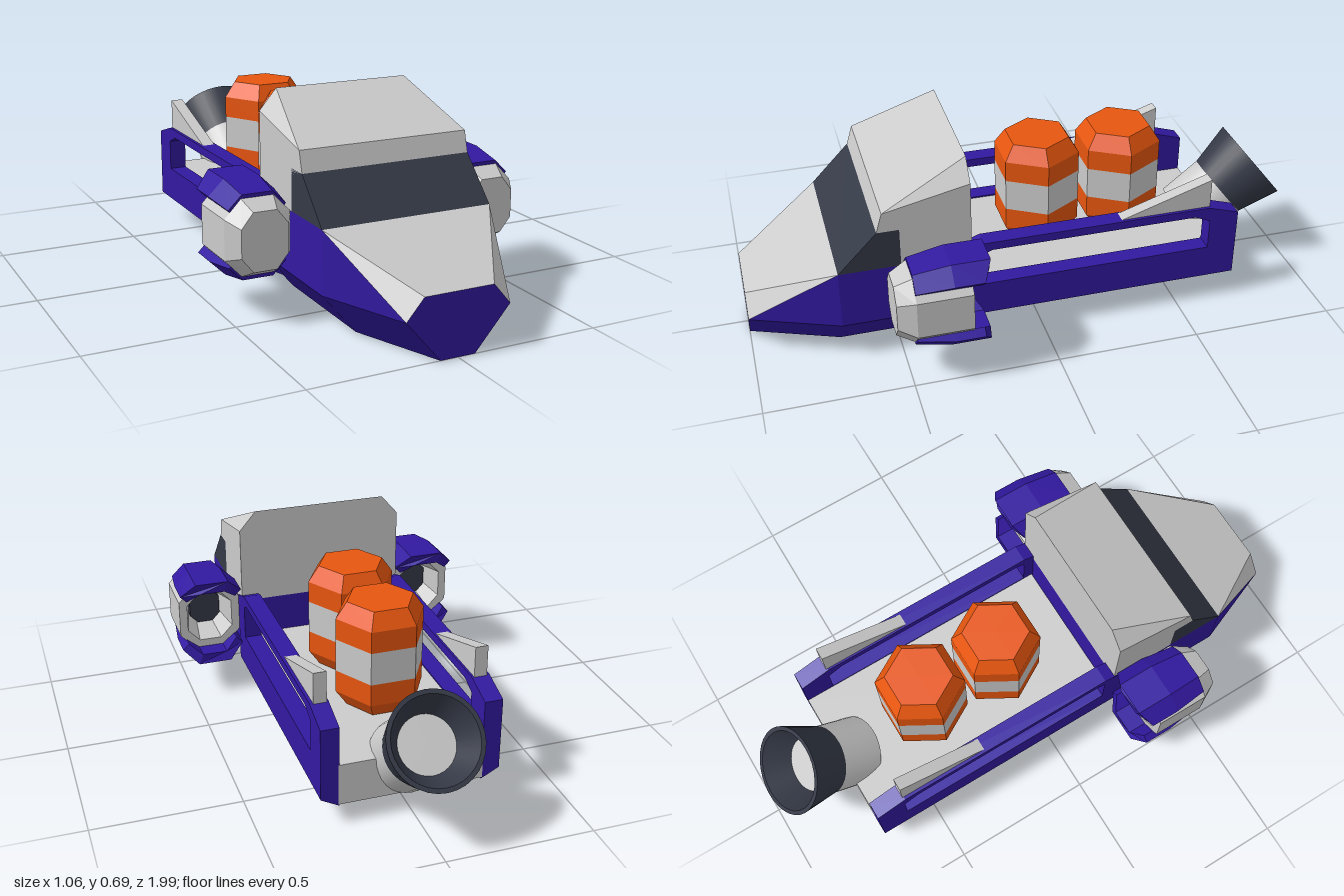
import * as THREE from 'three';
import { mergeGeometries } from 'three/addons/utils/BufferGeometryUtils.js';

const material = (color, extra = {}) => new THREE.MeshStandardMaterial({ color, flatShading: true, ...extra });
const grey = material(0xcccccc);
const purple = material(0x3219a0);
const orange = material(0xe8560f);
const dark = material(0x343946);
const smoothGrey = material(0xcccccc, { flatShading: false });
const smoothDark = material(0x343946, { flatShading: false });

function add(parent, name, geometry, mat) {
  const mesh = new THREE.Mesh(geometry, mat);
  mesh.name = name;
  parent.add(mesh);
  return mesh;
}

function fromTriangles(points) {
  const g = new THREE.BufferGeometry();
  g.setAttribute('position', new THREE.Float32BufferAttribute(points.flat(), 3));
  g.computeVertexNormals();
  return g;
}

// Flat polygons, fanned from their first corner
function panels(polygons) {
  const out = [];
  for (const p of polygons)
    for (let i = 1; i < p.length - 1; i++) out.push(p[0], p[i], p[i + 1]);
  return fromTriangles(out);
}

// Skin over matching rings of [x, y, z], with both ends capped
function loft(rings) {
  const out = [], n = rings[0].length;
  for (let r = 0; r < rings.length - 1; r++) {
    const a = rings[r], b = rings[r + 1];
    for (let i = 0; i < n; i++) {
      const j = (i + 1) % n;
      out.push(a[i], a[j], b[j], a[i], b[j], b[i]);
    }
  }
  const cap = (ring, flip) => {
    const flat = ring.map(([x, y]) => new THREE.Vector2(x, y));
    for (const [i, j, k] of THREE.ShapeUtils.triangulateShape(flat, []))
      out.push(ring[i], ring[flip ? k : j], ring[flip ? j : k]);
  };
  cap(rings[0], true);
  cap(rings.at(-1), false);
  return fromTriangles(out);
}

// Upright plate drawn in (z, y), with its thickness along x
function plate(outline, hole, width, x) {
  const toVectors = (pts) => pts.map(([z, y]) => new THREE.Vector2(z, y));
  const shape = new THREE.Shape(toVectors(outline));
  if (hole) shape.holes.push(new THREE.Path(toVectors(hole)));
  const g = new THREE.ExtrudeGeometry(shape, { depth: width, bevelEnabled: false });
  return g.rotateY(-Math.PI / 2).translate(x + width / 2, 0, 0);
}

// Turned part whose profile corners stay crisp
function turned(profile, sides) {
  const bands = [];
  for (let i = 0; i < profile.length - 1; i++)
    bands.push(new THREE.LatheGeometry(
      [profile[i], profile[i + 1]].map(([r, y]) => new THREE.Vector2(r, y)), sides, Math.PI / 2));
  return mergeGeometries(bands);
}

function createCab() {
  const cab = new THREE.Group();
  cab.name = 'cab';
  const m = ([x, y, z]) => [-x, y, z];
  const both = (polys) => polys.flatMap((p) => [p, p.map(m).reverse()]);
  const across = (...half) => [...half, ...half.map(m).reverse()];
  const A = [0.06, 0, 1], B = [0.18, 0.14, 1], C = [0.12, 0.21, 1];
  const D = [0.18, 0, 0.7], E = [0.3, 0.14, 0.7], F = [0.3, 0.35, 0.7];
  const G = [0.18, 0, 0.25], H = [0.3, 0.14, 0.25], I = [0.3, 0.35, 0.25];
  const J = [0.3, 0.49, 0.565], K = [0.3, 0.49, 0.49], L = [0.3, 0.35, 0.49];
  const M = [0.3, 0.56, 0.545], N = [0.24, 0.695, 0.25], O = [0.3, 0.625, 0.25];
  add(cab, 'lowerHull', panels([
    across(A, B, C), across(G, D, A), across(I, H, G),
    ...both([[A, D, E, B], [D, G, H, E], [B, E, F], [E, H, I, F]]),
  ]), purple);
  add(cab, 'hood', panels([across(C, F), ...both([[B, F, C]])]), grey);
  add(cab, 'windshield', panels([across(F, J), ...both([[F, L, K, J]])]), dark);
  add(cab, 'cabShell', panels([
    across(J, M), across(M, N), across(N, O, I),
    ...both([[K, L, I, O, M, J], [M, O, N]]),
  ]), grey);
  return cab;
}

function createChassis() {
  const chassis = new THREE.Group();
  chassis.name = 'chassis';
  add(chassis, 'deck', new THREE.BoxGeometry(0.49, 0.145, 0.955).translate(0, 0.1425, -0.2325), grey);
  for (const s of [1, -1]) {
    const frame = plate(
      [[0.297, 0.065], [0.297, 0.355], [0.21, 0.385], [-0.6, 0.385], [-0.71, 0.35], [-0.71, 0.065]],
      [[0.21, 0.22], [0.21, 0.342], [0.18, 0.355], [-0.55, 0.355], [-0.605, 0.33], [-0.605, 0.22]],
      0.062, s * 0.272);
    // Chamfer the lower outer edge
    const p = frame.attributes.position;
    for (let i = 0; i < p.count; i++)
      if (p.getY(i) < 0.07 && Math.abs(p.getX(i)) > 0.28) p.setY(i, 0.098);
    frame.computeVertexNormals();
    add(chassis, 'sideFrame', frame, purple);
    add(chassis, 'rearFin',
      plate([[-0.19, 0.355], [-0.605, 0.355], [-0.605, 0.492]], null, 0.044, s * 0.27), grey);
  }
  return chassis;
}

function createCanister(z) {
  const canister = new THREE.Group();
  canister.name = 'canister';
  const r = 0.153, e = 0.115;
  add(canister, 'lowerCap', turned([[0, 0.218], [e, 0.218], [r, 0.272], [r, 0.35]], 6), orange);
  add(canister, 'middleBand', turned([[r, 0.35], [r, 0.465]], 6), grey);
  add(canister, 'upperCap', turned([[r, 0.465], [r, 0.54], [e, 0.595], [0, 0.595]], 6), orange);
  canister.position.set(-0.013, 0, z);
  return canister;
}

function createExhaust() {
  const exhaust = new THREE.Group();
  exhaust.name = 'exhaust';
  add(exhaust, 'pipe', turned([[0, 0], [0.122, 0], [0.122, 0.17]], 32), smoothGrey);
  add(exhaust, 'nozzle', turned([[0.122, 0.163], [0.157, 0.32], [0.142, 0.32], [0.095, 0.23]], 32), smoothDark);
  add(exhaust, 'nozzleFloor', turned([[0.095, 0.23], [0, 0.23]], 32), smoothGrey);
  exhaust.position.set(0, 0.165, -0.643);
  exhaust.rotation.x = -0.895;
  return exhaust;
}

function createEngine(side) {
  const engine = new THREE.Group();
  engine.name = 'engine';
  const octagon = (w, h, cw, ch, z) => [
    [w, -ch, z], [w, ch, z], [cw, h, z], [-cw, h, z], [-w, ch, z], [-w, -ch, z], [-cw, -h, z], [cw, -h, z]];
  const scaled = (s, z) => octagon(0.112 * s, 0.127 * s, 0.055 * s, 0.067 * s, z);
  // Pod with a stepped recess at the back
  add(engine, 'pod', loft([
    scaled(0.5, 0.42), scaled(0.62, 0.36), scaled(0.74, 0.297), scaled(1, 0.297),
    scaled(1, 0.485), octagon(0.08, 0.097, 0.04, 0.047, 0.545)]), grey);
  add(engine, 'core', loft([scaled(0.5, 0.385), scaled(0.5, 0.43)]), dark);
  // Three-sided guards above and below
  const guard = (s, mid, edge) => [
    [0.113 * s, 0.108 * s, edge], [0.06 * s, 0.16 * s, mid], [-0.06 * s, 0.16 * s, mid], [-0.113 * s, 0.108 * s, edge],
    [-0.09, 0.085, edge], [-0.045, 0.122, mid], [0.045, 0.122, mid], [0.09, 0.085, edge]];
  for (const turn of [0, Math.PI]) {
    const g = loft([guard(1, 0.23, 0.26), guard(1, 0.36, 0.36), guard(0.87, 0.485, 0.485)]).rotateZ(turn);
    add(engine, turn ? 'lowerGuard' : 'upperGuard', g, purple);
  }
  engine.position.set(side * 0.415, 0.285, 0);
  return engine;
}

export function createModel() {
  const model = new THREE.Group();
  model.name = 'utilityShip';
  model.add(createCab(), createChassis(), createExhaust());
  for (const z of [-0.063, -0.363]) model.add(createCanister(z));
  for (const side of [1, -1]) model.add(createEngine(side));
  return model;
}
